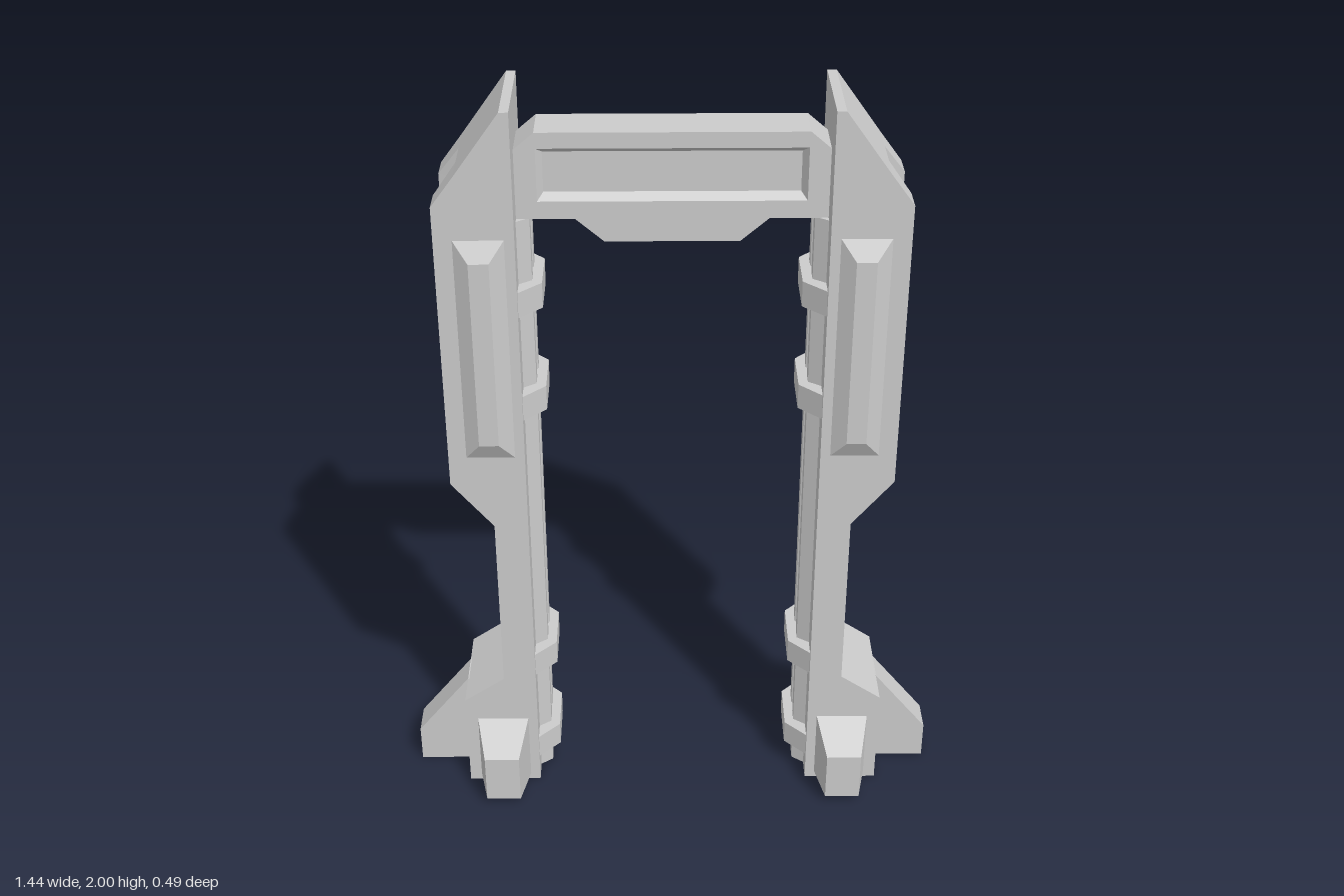
import * as THREE from 'three';

const material = new THREE.MeshStandardMaterial({ color: 0xcccccc, flatShading: true });

function add(parent, name, geometry) {
  const mesh = new THREE.Mesh(geometry, material);
  mesh.name = name;
  parent.add(mesh);
  return mesh;
}

// Skin a list of equal-length loops (counter-clockwise about the loft direction).
function loft(loops, capped = true) {
  const out = [];
  const tri = (...points) => points.forEach((p) => out.push(...p));
  const n = loops[0].length;
  for (let i = 0; i + 1 < loops.length; i++) {
    for (let j = 0; j < n; j++) {
      const k = (j + 1) % n, low = loops[i], high = loops[i + 1];
      tri(low[j], low[k], high[k]);
      tri(low[j], high[k], high[j]);
    }
  }
  if (capped) {
    const first = loops[0], last = loops[loops.length - 1];
    for (let j = 1; j + 1 < n; j++) {
      tri(first[0], first[j + 1], first[j]);
      tri(last[0], last[j], last[j + 1]);
    }
  }
  const geometry = new THREE.BufferGeometry();
  geometry.setAttribute('position', new THREE.Float32BufferAttribute(out, 3));
  geometry.computeVertexNormals();
  return geometry;
}

const rect = (x0, x1, y0, y1, z) => [[x0, y0, z], [x1, y0, z], [x1, y1, z], [x0, y1, z]];

// Upright prism from an [x, z] outline.
const prism = (outline, y0, y1) => loft([y0, y1].map((y) => outline.map(([x, z]) => [x, y, z])));

function extrude(shape, z0, z1) {
  return new THREE.ExtrudeGeometry(shape, { depth: z1 - z0, bevelEnabled: false }).translate(0, 0, z0);
}

const shapeOf = (points) => new THREE.Shape(points.map(([x, y]) => new THREE.Vector2(x, y)));

function createPillar() {
  const pillar = new THREE.Group();

  // Main post: [y, outer x, groove floor x, groove half width at the outer face]
  const levels = [
    [0, 0.575, 0.575, 0.045], [0.285, 0.575, 0.575, 0.045],
    [0.36, 0.465, 0.465, 0.045], [0.865, 0.465, 0.465, 0.045],
    [0.995, 0.572, 0.472, 0.068], [1.765, 0.572, 0.512, 0.066],
    [1.84, 0.516, 0.516, 0.045], [2, 0.4, 0.4, 0.045],
  ];
  const inner = 0.377, half = 0.14, floorHalf = 0.045;
  add(pillar, 'post', loft(levels.map(([y, outer, floor, w]) => [
    [inner, y, half], [outer, y, half], [outer, y, w], [floor, y, floorHalf],
    [floor, y, -floorHalf], [outer, y, -w], [outer, y, -half], [inner, y, -half],
  ])));

  // Outer foot brace
  const brace = shapeOf([[0.55, 0], [0.722, 0], [0.722, 0.105], [0.575, 0.287], [0.55, 0.287]]);
  add(pillar, 'footBrace', extrude(brace, -0.045, 0.045));

  // Raised panel and foot block on the front and back faces
  const panel = loft([
    rect(-0.062, 0.062, 1.075, 1.68, 0.135),
    rect(-0.062, 0.062, 1.075, 1.68, 0.14),
    rect(-0.025, 0.025, 1.125, 1.63, 0.167),
  ]);
  const foot = loft([
    rect(-0.07, 0.07, 0.02, 0.22, 0.13),
    rect(-0.07, 0.07, 0.02, 0.22, 0.14),
    rect(-0.047, 0.047, 0.02, 0.16, 0.246),
  ]);
  for (const turn of [0, Math.PI]) {
    const panelMesh = add(pillar, 'raisedPanel', panel);
    panelMesh.position.x = 0.464;
    panelMesh.rotation.y = turn;
    const footMesh = add(pillar, 'footBlock', foot);
    footMesh.position.x = 0.473;
    footMesh.rotation.y = turn;
  }

  // Grooved rail on the inner face
  add(pillar, 'innerRail', prism([
    [0.38, -0.08], [0.345, -0.055], [0.345, -0.02], [0.362, -0.01],
    [0.362, 0.01], [0.345, 0.02], [0.345, 0.055], [0.38, 0.08],
  ], 0, 1.7));

  // Clamps across the rail
  for (const y of [0.107, 0.398, 1.21, 1.5]) {
    add(pillar, 'railClamp', prism(
      [[0.32, 0.07], [0.38, 0.13], [0.38, -0.13], [0.32, -0.07]], y - 0.034, y + 0.034));
  }
  return pillar;
}

function createBeam() {
  const beam = new THREE.Group();
  beam.name = 'crossBeam';
  const right = [[0.165, 1.64], [0.235, 1.7], [0.38, 1.7], [0.38, 1.875], [0.327, 1.92]];
  const outline = [...right, ...right.map(([x, y]) => [-x, y]).reverse()];
  add(beam, 'beamCore', extrude(shapeOf(outline), -0.04, 0.04));

  // Faces with a bevelled recess
  const face = shapeOf(outline);
  face.holes.push(new THREE.Path(
    rect(-0.325, 0.325, 1.745, 1.88, 0).reverse().map(([x, y]) => new THREE.Vector2(x, y))));
  const frame = extrude(face, 0.04, 0.061);
  const bevel = loft([
    rect(-0.325, 0.325, 1.745, 1.88, 0.061),
    rect(-0.31, 0.31, 1.762, 1.865, 0.04),
  ], false);
  for (const turn of [0, Math.PI]) {
    add(beam, 'beamFace', frame).rotation.y = turn;
    add(beam, 'recessBevel', bevel).rotation.y = turn;
  }
  return beam;
}

export function createModel() {
  const model = new THREE.Group();
  model.name = 'gateFrame';
  const left = createPillar();
  left.name = 'leftPillar';
  const right = createPillar();
  right.name = 'rightPillar';
  right.rotation.y = Math.PI;
  model.add(left, right, createBeam());
  return model;
}
